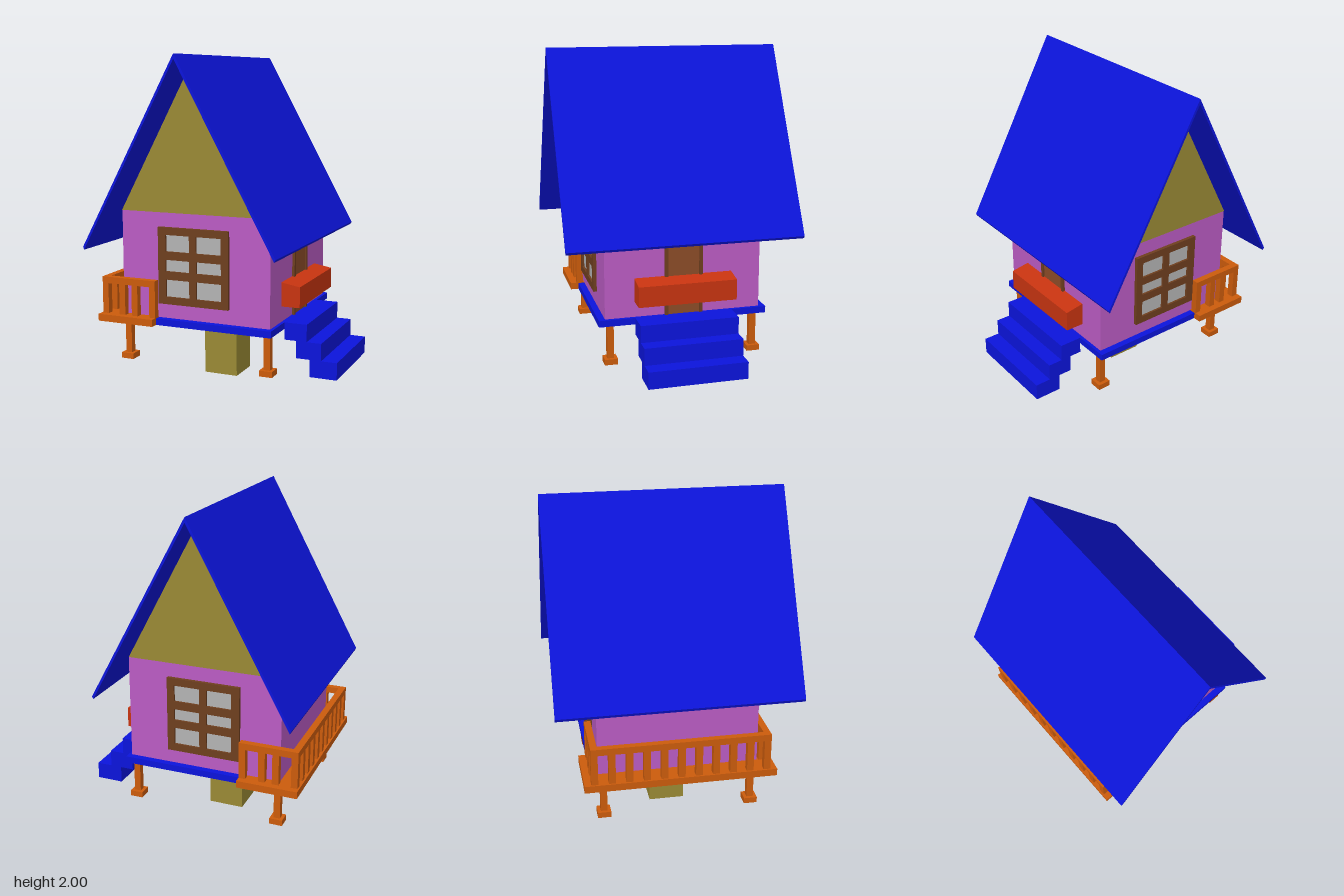
import * as THREE from 'three';

const mat = (color) => new THREE.MeshStandardMaterial({ color, flatShading: true, side: THREE.DoubleSide });

export function createModel() {
  const root = new THREE.Group();
  const blue = mat(0x0c14dc), pink = mat(0xbb5cc4), olive = mat(0x9a8a35), orange = mat(0xcc5c0c);
  const brown = mat(0x6f3f1f), doorBrown = mat(0x8c4c28), red = mat(0xc83410), grey = mat(0xb4b4b4), dark = mat(0x222222);

  const group = (name) => {
    const g = new THREE.Group();
    g.name = name;
    root.add(g);
    return g;
  };
  const mesh = (parent, name, geometry, material) => {
    const m = new THREE.Mesh(geometry, material);
    m.name = name;
    parent.add(m);
    return m;
  };
  // Box from its minimum and maximum corners
  const box = (parent, name, material, [x0, y0, z0], [x1, y1, z1]) => {
    const m = mesh(parent, name, new THREE.BoxGeometry(x1 - x0, y1 - y0, z1 - z0), material);
    m.position.set((x0 + x1) / 2, (y0 + y1) / 2, (z0 + z1) / 2);
    return m;
  };
  // Outline in the x-y plane, extruded evenly to both sides of z = 0
  const prism = (name, material, points, depth) => {
    const shape = new THREE.Shape(points.map(([x, y]) => new THREE.Vector2(x, y)));
    const geometry = new THREE.ExtrudeGeometry(shape, { depth, bevelEnabled: false });
    geometry.translate(0, 0, -depth / 2);
    return mesh(root, name, geometry, material);
  };
  // Four sides around an open middle
  const ring = (parent, name, material, x0, x1, y0, y1, z, t) => {
    for (const s of [-1, 1]) {
      const [a, b] = s > 0 ? [z - t, z] : [-z, t - z];
      box(parent, name, material, [x0, y0, a], [x1, y1, b]);
    }
    box(parent, name, material, [x0, y0, t - z], [x0 + t, y1, z - t]);
    box(parent, name, material, [x1 - t, y0, t - z], [x1, y1, z - t]);
  };

  // House body, gable and roof
  ring(group('walls'), 'wall', pink, -0.59, 0.37, 0.44, 1.08, 0.48, 0.015);
  prism('gable', olive, [[-0.593, 1.08], [0.37, 1.08], [-0.11, 1.972]], 0.96);
  prism('roof', blue, [
    [-0.11, 2], [-0.72, 0.885], [-0.713, 0.868], [-0.11, 1.97], [0.485, 0.885], [0.493, 0.9],
  ], 1.44);

  // Front and back windows with six panes each
  const columns = [[-0.29, -0.135], [-0.09, 0.07]];
  const rows = [[0.575, 0.68], [0.73, 0.80], [0.85, 0.95]];
  for (const s of [-1, 1]) {
    const g = group(s > 0 ? 'frontWindow' : 'backWindow');
    const shape = new THREE.Shape();
    const rect = (path, x0, y0, x1, y1) => path.moveTo(x0, y0).lineTo(x1, y0).lineTo(x1, y1).lineTo(x0, y1).closePath();
    rect(shape, -0.34, 0.53, 0.115, 0.995);
    for (const [x0, x1] of columns) {
      for (const [y0, y1] of rows) {
        const hole = new THREE.Path();
        rect(hole, x0, y0, x1, y1);
        shape.holes.push(hole);
        box(g, 'pane', grey, [x0, y0, s * 0.476 - 0.012], [x1, y1, s * 0.476 + 0.012]);
      }
    }
    const frame = mesh(g, 'windowFrame', new THREE.ExtrudeGeometry(shape, { depth: 0.045, bevelEnabled: false }), brown);
    frame.position.z = s * 0.4785 - 0.0225;
  }

  // Door towards the stairs
  const door = group('door');
  for (const s of [-1, 1]) {
    const [a, b] = s > 0 ? [0.097, 0.117] : [-0.117, -0.097];
    box(door, 'doorPost', brown, [0.35, 0.44, a], [0.386, 0.885, b]);
  }
  box(door, 'doorLintel', brown, [0.35, 0.865, -0.097], [0.386, 0.885, 0.097]);
  box(door, 'doorPanel', doorBrown, [0.355, 0.44, -0.097], [0.376, 0.865, 0.097]);

  // Long red bench running through the doorway, on dark feet
  prism('bench', red, [[-0.47, 0.53], [0.485, 0.535], [0.485, 0.66], [0.37, 0.68], [-0.47, 0.68]], 0.6);
  const feet = group('benchFeet');
  for (const x of [-0.4, 0.19]) {
    for (const z of [-0.22, 0.22]) {
      mesh(feet, 'benchFoot', new THREE.CylinderGeometry(0.03, 0.03, 0.06, 12), dark).position.set(x, 0.5, z);
    }
  }

  // Open floor frame, side deck, pillar and legs
  ring(group('floorFrame'), 'floorBeam', blue, -0.35, 0.39, 0.4, 0.44, 0.52, 0.05);
  box(root, 'sideDeck', orange, [-0.72, 0.4, -0.57], [-0.35, 0.443, 0.57]);
  box(root, 'pillar', olive, [-0.22, 0, -0.11], [0, 0.53, 0.11]);
  const legs = group('legs');
  for (const x of [-0.57, 0.345]) {
    for (const z of [-0.447, 0.447]) {
      box(legs, 'leg', orange, [x - 0.02, 0.19, z - 0.02], [x + 0.02, 0.4, z + 0.02]);
      box(legs, 'legFoot', orange, [x - 0.04, 0.155, z - 0.04], [x + 0.04, 0.19, z + 0.04]);
    }
  }

  // Railing on three sides of the deck
  const railing = group('railing');
  const baluster = (x, z) => box(railing, 'baluster', orange, [x - 0.02, 0.44, z - 0.02], [x + 0.02, 0.635, z + 0.02]);
  for (const z of [-0.51, 0.51]) {
    for (const x of [-0.69, -0.575, -0.49, -0.37]) baluster(x, z);
    box(railing, 'sideRail', orange, [-0.71, 0.63, z - 0.02], [-0.35, 0.67, z + 0.02]);
  }
  for (let i = 1; i < 10; i++) baluster(-0.69, -0.51 + i * 0.102);
  box(railing, 'longRail', orange, [-0.71, 0.63, -0.49], [-0.67, 0.67, 0.49]);

  // Three overlapping steps
  const stairs = group('stairs');
  for (const [x0, x1, y0, y1] of [[0.39, 0.53, 0.335, 0.44], [0.465, 0.62, 0.23, 0.335], [0.55, 0.717, 0.125, 0.23]]) {
    box(stairs, 'step', blue, [x0, y0, -0.3], [x1, y1, 0.3]);
  }
  return root;
}
